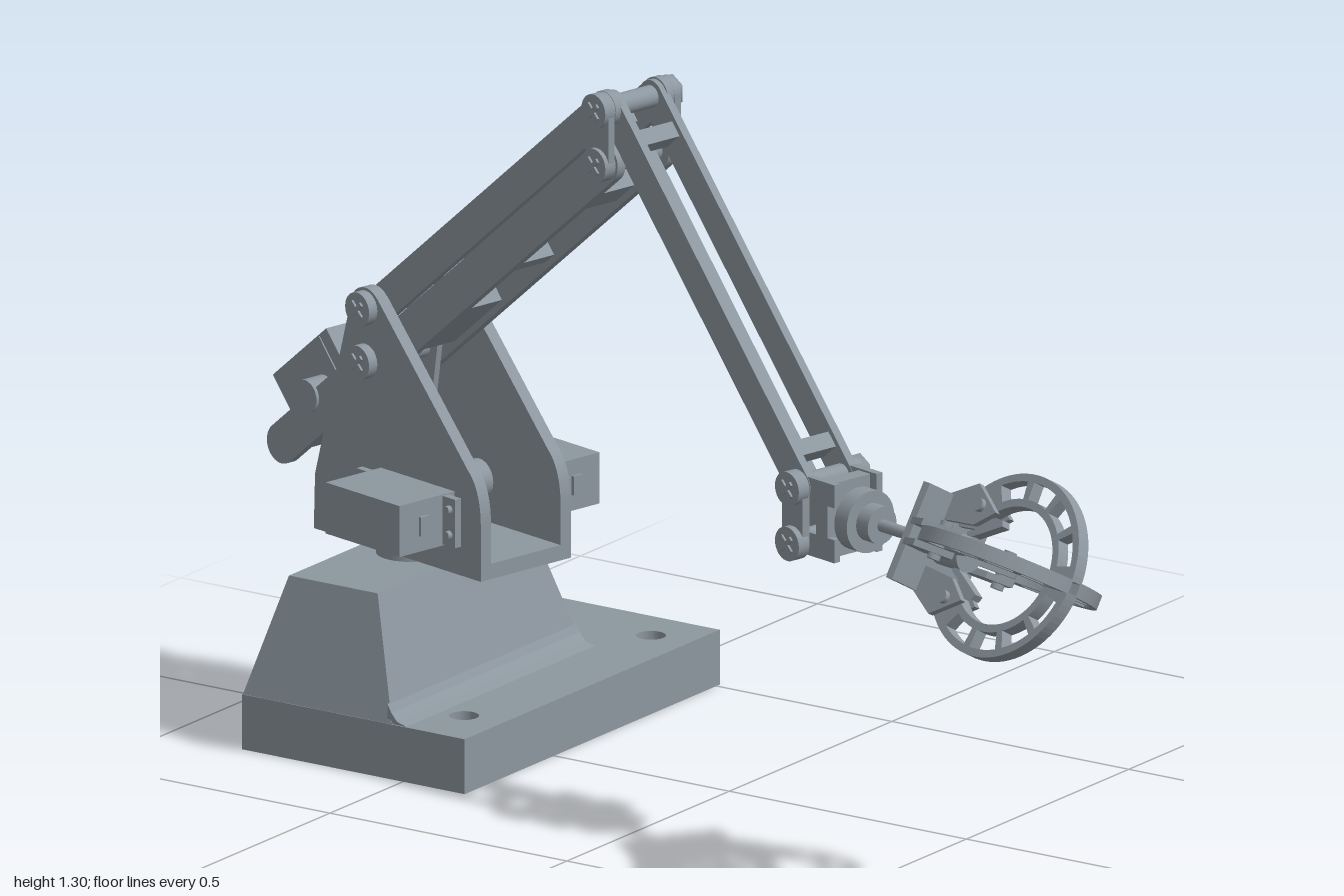
import * as THREE from 'three';

const grey = new THREE.MeshStandardMaterial({ color: 0x8d979f });
grey.name = 'machine grey';

function add(parent, geometry, name, pos = [0, 0, 0]) {
  const mesh = new THREE.Mesh(geometry, grey);
  mesh.name = name;
  mesh.position.set(...pos);
  parent.add(mesh);
  return mesh;
}
const box = (parent, name, size, pos, tilt = 0) => {
  const m = add(parent, new THREE.BoxGeometry(...size), name, pos);
  m.rotation.z = tilt;
  return m;
};
// Flat plate cut from a shape, centred on z = w
const plate = (parent, name, shape, t, w) => add(parent,
  new THREE.ExtrudeGeometry(shape, { depth: t, bevelEnabled: false, curveSegments: 16 }), name, [0, 0, w - t / 2]);
// Bar outline with round ends
function capsule(p, q, r) {
  const a = Math.atan2(q[1] - p[1], q[0] - p[0]), h = Math.PI / 2;
  const s = new THREE.Shape();
  s.absarc(q[0], q[1], r, a - h, a + h);
  s.absarc(p[0], p[1], r, a + h, a + 3 * h);
  s.closePath();
  return s;
}
const polygon = (pts) => new THREE.Shape(pts.map(([x, y]) => new THREE.Vector2(x, y)));
// Cylinder along x or z
function rod(parent, name, axis, r, len, pos, sides = 24) {
  const g = new THREE.CylinderGeometry(r, r, len, sides);
  if (axis === 'x') g.rotateZ(Math.PI / 2);
  if (axis === 'z') g.rotateX(Math.PI / 2);
  return add(parent, g, name, pos);
}
// Cross bolt with a round head on one end and a hex nut on the other
function bolt(parent, name, [u, y], half) {
  rod(parent, name, 'z', 0.02, half * 2, [u, y, 0]);
  rod(parent, name + 'Head', 'z', 0.031, 0.025, [u, y, half - 0.012]);
  rod(parent, name + 'Nut', 'z', 0.03, 0.028, [u, y, -half + 0.014], 6);
  for (const a of [Math.PI / 4, -Math.PI / 4])
    box(parent, name + 'Recess', [0.036, 0.008, 0.006], [u, y, half + 0.002], a);
}
// Point on a line through two pivots
const along = (p, q, t) => [p[0] + (q[0] - p[0]) * t, p[1] + (q[1] - p[1]) * t];

function buildBase(root) {
  const s = polygon([[-0.84, -0.275], [-0.37, -0.275], [-0.37, 0.51], [-0.84, 0.51]]);
  for (const [x, z] of [[-0.76, -0.415], [-0.45, -0.415], [-0.45, 0.16]]) {
    const hole = new THREE.Path();
    hole.absarc(x, -z, 0.026, 0, Math.PI * 2, true);
    s.holes.push(hole);
  }
  const g = new THREE.ExtrudeGeometry(s, { depth: 0.1, bevelEnabled: false, curveSegments: 20 });
  g.rotateX(-Math.PI / 2);
  add(root, g, 'basePlate');

  // Tapered pedestal: box with its corners moved
  const b = new THREE.BoxGeometry(1, 1, 1).toNonIndexed();
  const p = b.attributes.position;
  for (let i = 0; i < p.count; i++) {
    const top = p.getY(i) > 0, right = p.getX(i) > 0, front = p.getZ(i) > 0;
    p.setXYZ(i, right ? (top ? -0.588 : -0.524) : (top ? -0.775 : -0.839), top ? 0.315 : 0.099,
      front ? (top ? 0.225 : 0.274) : (top ? -0.25 : -0.31));
  }
  b.computeVertexNormals();
  add(root, b, 'pedestal');
  // Concave fillet at the foot of the pedestal
  const f = polygon([[-0.535, 0.1], [-0.495, 0.1], [-0.515, 0.106], [-0.527, 0.12], [-0.535, 0.135]]);
  add(root, new THREE.ExtrudeGeometry(f, { depth: 0.58, bevelEnabled: false }), 'pedestalFillet', [0, 0, -0.308]);
  rod(root, 'turntableNeck', 'y', 0.06, 0.04, [-0.68, 0.333, -0.01], 32);
  rod(root, 'turntableCollar', 'y', 0.072, 0.012, [-0.68, 0.345, -0.01], 32);
}

function buildShoulder(arm, top, low) {
  for (const side of [1, -1]) {
    const s = new THREE.Shape();
    s.moveTo(-0.133, 0.35);
    s.lineTo(0.298, 0.35);
    s.lineTo(0.298, 0.45);
    s.quadraticCurveTo(0.298, 0.515, 0.265, 0.545);
    s.lineTo(0.03, 0.805);
    s.absarc(0, 0.78, 0.038, 0.7, 2.95);
    s.lineTo(-0.13, 0.45);
    s.closePath();
    plate(arm, 'shoulderCheek', s, 0.024, side * 0.094);

    // Servo with mounting ears and screws
    box(arm, 'shoulderServo', [0.19, 0.093, 0.13], [0.135, 0.453, side * 0.171]);
    box(arm, 'servoEars', [0.255, 0.088, 0.014], [0.135, 0.453, side * 0.127]);
    for (const u of [0.022, 0.248])
      for (const y of [0.43, 0.476]) rod(arm, 'servoScrew', 'z', 0.008, 0.012, [u, y, side * 0.137], 10);
    box(arm, 'servoPlug', [0.008, 0.035, 0.02], [0.232, 0.453, side * 0.18]);
    rod(arm, 'servoHorn', 'z', 0.036, 0.025, [0.09, 0.453, side * 0.068]);
    plate(arm, 'servoCrank', capsule([0.09, 0.453], [0.0, 0.5], 0.016), 0.014, side * 0.048);
    plate(arm, 'pushRod', capsule([0.0, 0.5], side > 0 ? [-0.1, 0.6] : [0.03, 0.7], 0.01), 0.012, side * 0.034);
  }
  box(arm, 'shoulderFloor', [0.43, 0.028, 0.17], [0.083, 0.364, 0]);
  box(arm, 'shoulderRearWall', [0.02, 0.09, 0.17], [-0.12, 0.395, 0]);
  bolt(arm, 'shoulderUpperBolt', top, 0.125);
  bolt(arm, 'shoulderLowerBolt', low, 0.125);
}

function buildUpperArm(arm, top, low, elbowTop, elbowLow) {
  const tilt = Math.atan2(elbowLow[1] - low[1], elbowLow[0] - low[0]);
  const tail = along(low, elbowLow, -0.45);
  for (const side of [1, -1]) {
    plate(arm, 'upperArmRail', capsule(tail, elbowLow, 0.036), 0.018, side * 0.06);
    plate(arm, 'upperArmLink', capsule(top, elbowTop, 0.032), 0.016, side * 0.061);
  }
  // Webs joining the two rails
  for (const [t, len] of [[-0.3, 0.2], [0.18, 0.16], [0.5, 0.03], [0.84, 0.06]]) {
    const [u, y] = along(low, elbowLow, t);
    box(arm, 'upperArmWeb', [len, 0.05, 0.11], [u, y, 0], tilt);
  }
  for (const t of [0.12, 0.88]) {
    const [u, y] = along(top, elbowTop, t);
    box(arm, 'linkWeb', [0.035, 0.03, 0.11], [u, y, 0], tilt);
  }
  // Tail servo sitting on the rear of the arm
  box(arm, 'tailServo', [0.18, 0.105, 0.095], [-0.22, 0.588, -0.018], tilt);
  box(arm, 'tailServoEars', [0.014, 0.115, 0.1], [-0.17, 0.62, -0.018], tilt);
  rod(arm, 'tailServoHub', 'z', 0.03, 0.06, [-0.19, 0.57, 0.045]);
}

function buildForearm(arm, elbowTop, elbowLow, wristTop, wristLow) {
  const tilt = Math.atan2(wristLow[1] - elbowLow[1], wristLow[0] - elbowLow[0]);
  for (const side of [1, -1]) {
    plate(arm, 'forearmRail', capsule(elbowTop, wristTop, 0.029), 0.016, side * 0.05);
    plate(arm, 'elbowCheek', capsule(elbowTop, elbowLow, 0.03), 0.014, side * 0.078);
    plate(arm, 'wristCheek', capsule(wristTop, wristLow, 0.027), 0.016, side * 0.066);
    for (const p of [wristTop, wristLow])
      box(arm, 'wristLug', [0.09, 0.042, 0.014], [p[0] + 0.045, p[1], side * 0.05]);
  }
  plate(arm, 'forearmSpine', capsule(elbowLow, wristLow, 0.029), 0.03, -0.012);
  for (const t of [0.1, 0.92]) {
    const [u, y] = along(elbowTop, wristTop, t);
    box(arm, 'forearmWeb', [0.03, 0.04, 0.1], [u, y, 0], tilt);
  }
  bolt(arm, 'elbowUpperBolt', elbowTop, 0.093);
  bolt(arm, 'elbowLowerBolt', elbowLow, 0.093);
  bolt(arm, 'wristUpperBolt', wristTop, 0.086);
  bolt(arm, 'wristLowerBolt', wristLow, 0.086);
  // Wrist block, flange and shaft
  box(arm, 'wristBlock', [0.03, 0.135, 0.114], [1.125, 0.64, 0]);
  rod(arm, 'wristHub', 'x', 0.035, 0.03, [1.15, 0.64, 0]);
  rod(arm, 'wristFlange', 'x', 0.056, 0.032, [1.172, 0.64, 0], 32);
  rod(arm, 'wristCollar', 'x', 0.034, 0.03, [1.203, 0.64, 0]);
  rod(arm, 'wristShaft', 'x', 0.011, 0.18, [1.29, 0.64, 0], 16);
}

// Ring segment around (c, 0)
function sector(path, c, r0, r1, a0, a1) {
  path.absarc(c, 0, r1, a0, a1, false);
  path.absarc(c, 0, r0, a1, a0, true);
  path.closePath();
  return path;
}

function buildGripper(arm) {
  const grip = new THREE.Group();
  grip.name = 'gripper';
  grip.position.set(1.365, 0.638, 0);
  grip.rotation.x = -0.52;
  arm.add(grip);
  box(grip, 'gripperPlate', [0.016, 0.18, 0.18], [0.005, 0, 0]);
  rod(grip, 'gripperHub', 'x', 0.032, 0.07, [0.045, 0, 0]);
  for (let k = 0; k < 4; k++) {
    const finger = new THREE.Group();
    finger.name = 'finger';
    finger.rotation.x = k * Math.PI / 2;
    grip.add(finger);
    const claw = sector(new THREE.Shape(), 0.182, 0.108, 0.168, 0.06, 2.36);
    for (let i = 0; i < 4; i++)
      claw.holes.push(sector(new THREE.Path(), 0.182, 0.122, 0.154, 0.22 + i * 0.5, 0.62 + i * 0.5));
    plate(finger, 'claw', claw, 0.026, 0);
    // Forked hinge on the plate
    for (const w of [0.019, -0.019])
      plate(finger, 'hinge', polygon([[0, 0.042], [0.085, 0.05], [0.125, 0.082], [0.062, 0.122], [0, 0.088]]), 0.012, w);
    rod(finger, 'hingePin', 'z', 0.012, 0.07, [0.085, 0.086, 0], 12);
    box(finger, 'driveLink', [0.08, 0.012, 0.02], [0.1, 0.05, 0], 0.5);
  }
}

export function createModel() {
  const root = new THREE.Group();
  root.name = 'robotArm';
  buildBase(root);

  // Everything above the turntable shares one turned frame
  const arm = new THREE.Group();
  arm.name = 'turningArm';
  arm.position.set(-0.68, 0, -0.01);
  arm.rotation.y = -0.23;
  root.add(arm);

  const top = [0, 0.782], low = [0, 0.685];
  const elbowTop = [0.575, 1.267], elbowLow = [0.575, 1.168];
  const wristTop = [1.067, 0.69], wristLow = [1.067, 0.59];
  buildShoulder(arm, top, low);
  buildUpperArm(arm, top, low, elbowTop, elbowLow);
  buildForearm(arm, elbowTop, elbowLow, wristTop, wristLow);
  buildGripper(arm);
  return root;
}
